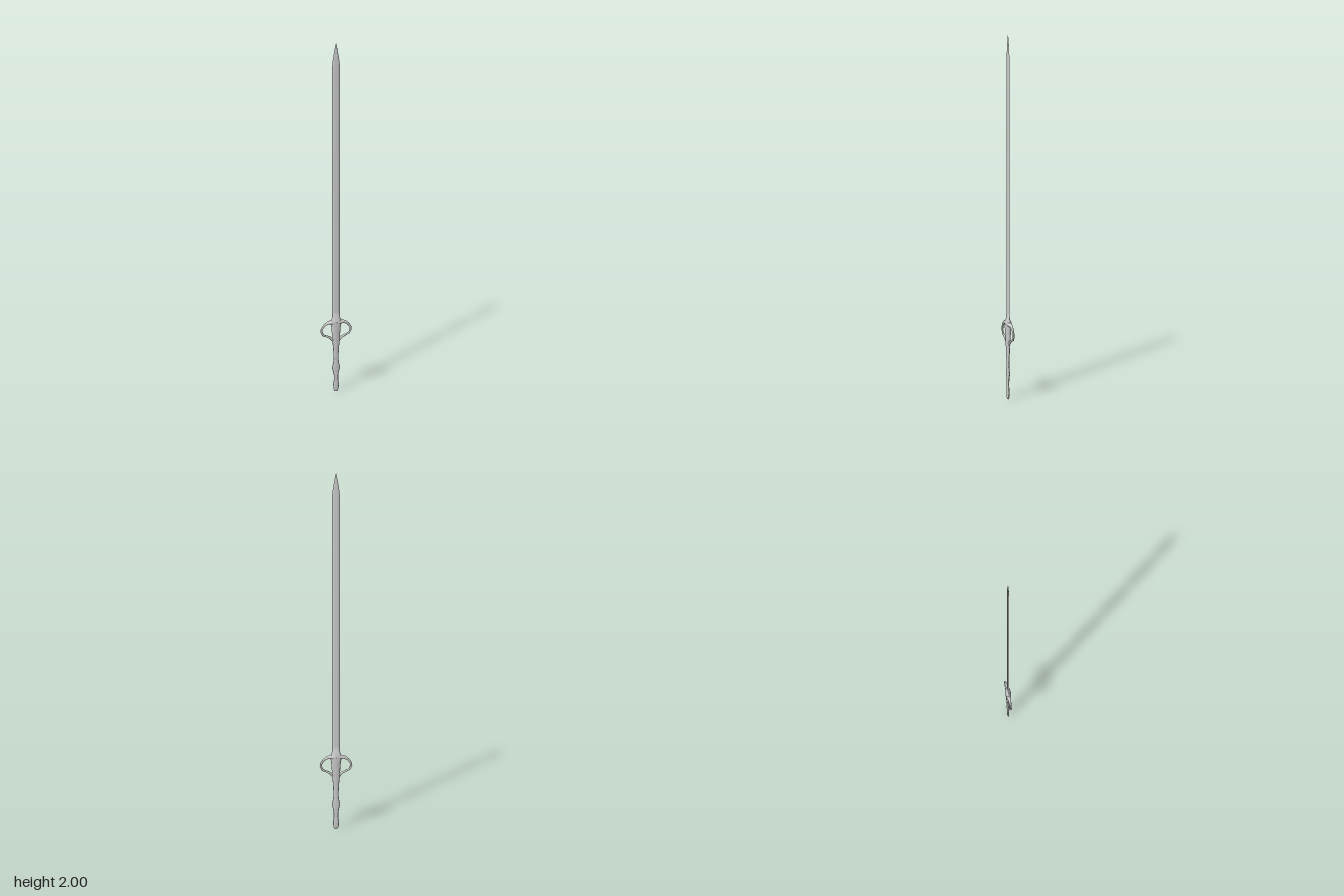
import * as THREE from 'three';

// Sweeps a section along stations [x, y, halfWidth, halfDepth] lying in the plane z = 0.
function loft(name, stations, section, flat = false) {
  const n = section.length, pos = [], index = [], last = stations.length - 1;
  stations.forEach(([x, y, w, d], i) => {
    const a = stations[Math.max(i - 1, 0)], b = stations[Math.min(i + 1, last)];
    const t = new THREE.Vector2(b[0] - a[0], b[1] - a[1]).normalize();
    for (const [u, v] of section) pos.push(x + t.y * u * w, y - t.x * u * w, v * d);
  });
  const start = n * (last + 1), end = start + 1;
  pos.push(stations[0][0], stations[0][1], 0, stations[last][0], stations[last][1], 0);
  for (let j = 0; j < n; j++) {
    const k = (j + 1) % n;
    for (let i = 0; i < last; i++) {
      const a = i * n + j, b = i * n + k;
      index.push(a, a + n, b, b, a + n, b + n);
    }
    index.push(start, j, k, end, last * n + k, last * n + j);
  }
  const geo = new THREE.BufferGeometry();
  geo.setAttribute('position', new THREE.Float32BufferAttribute(pos, 3));
  geo.setIndex(index);
  geo.computeVertexNormals();
  const mesh = new THREE.Mesh(geo, new THREE.MeshStandardMaterial({ color: 0xcccccc, flatShading: flat }));
  mesh.name = name;
  return mesh;
}

const round = n => Array.from({ length: n }, (_, i) => {
  const a = (i / n) * Math.PI * 2;
  return [Math.cos(a), Math.sin(a)];
});

export function createModel() {
  const group = new THREE.Group();
  group.name = 'sword';
  const cx = -0.002;

  // Blade: flattened hexagonal section running to a point
  const hexagon = [[1, 0], [0.45, 1], [-0.45, 1], [-1, 0], [-0.45, -1], [0.45, -1]];
  group.add(loft('blade', [
    [cx, 0.42, 0.022, 0.006], [cx, 0.5, 0.022, 0.005], [cx, 1.88, 0.021, 0.0035],
    [cx, 1.92, 0.016, 0.0032], [cx, 1.96, 0.009, 0.0025], [cx, 2, 0.0005, 0.0005],
  ], hexagon, true));

  // Grip: waisted handle with a swelling and a small pommel
  group.add(loft('grip', [
    [cx, 0, 0.007, 0.004], [cx, 0.012, 0.015, 0.006], [cx, 0.045, 0.017, 0.007],
    [cx, 0.07, 0.013, 0.006], [cx, 0.1, 0.013, 0.006], [cx, 0.125, 0.018, 0.007],
    [cx, 0.15, 0.024, 0.008], [cx, 0.175, 0.018, 0.007], [cx, 0.2, 0.014, 0.007],
    [cx, 0.27, 0.017, 0.009], [cx, 0.32, 0.022, 0.011], [cx, 0.36, 0.024, 0.013],
    [cx, 0.4, 0.027, 0.015], [cx, 0.425, 0.032, 0.016], [cx, 0.445, 0.03, 0.016],
    [cx, 0.46, 0.023, 0.008], [cx, 0.49, 0.018, 0.005],
  ], round(12)));

  // Guard: a curved ring on each side, thick at the hub and slim at the outside
  for (const s of [1, -1]) {
    const path = [
      [0, 0.434, 0.015, 0.0185], [0.025, 0.433, 0.013, 0.014], [0.048, 0.43, 0.009, 0.009],
      [0.068, 0.417, 0.007, 0.006], [0.082, 0.396, 0.006, 0.005], [0.085, 0.38, 0.006, 0.005],
      [0.075, 0.358, 0.006, 0.005], [0.052, 0.348, 0.006, 0.006], [0.032, 0.338, 0.007, 0.007],
      [0.01, 0.312, 0.008, 0.007],
    ].map(([x, y, w, d]) => [cx + s * x, y, w, d]);
    group.add(loft(s > 0 ? 'leftGuardRing' : 'rightGuardRing', path, round(8)));
  }
  return group;
}
